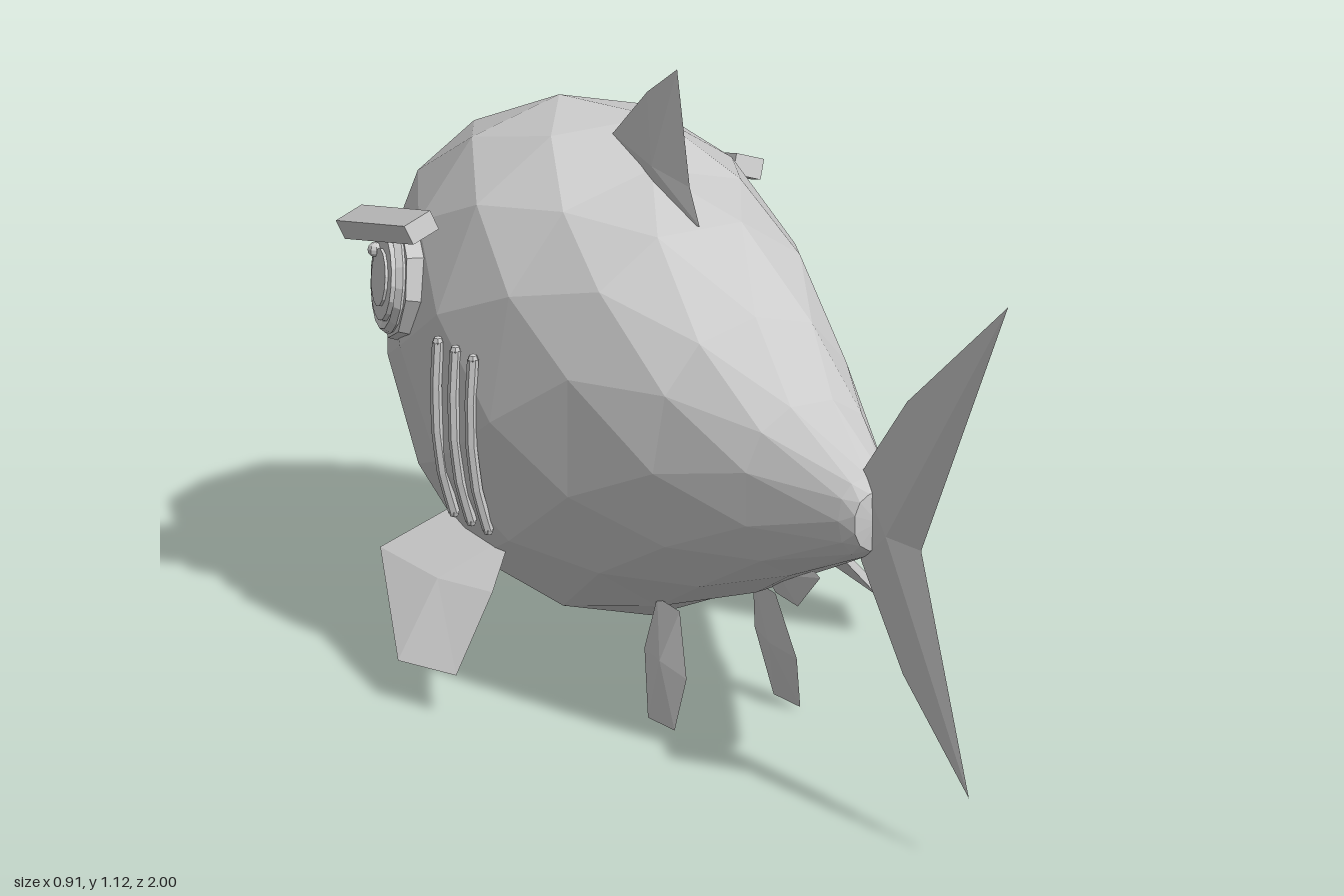
import * as THREE from 'three';

const V = (x, y, z) => new THREE.Vector3(x, y, z);
const skin = new THREE.MeshStandardMaterial({ color: 0xcccccc });
skin.name = 'pale grey';

// Faceted normals for any geometry
function facet(geo) {
  const g = geo.index ? geo.toNonIndexed() : geo;
  g.computeVertexNormals();
  return g;
}

function part(parent, name, geo) {
  const mesh = new THREE.Mesh(facet(geo), skin);
  mesh.name = name;
  parent.add(mesh);
  return mesh;
}

function fromTriangles(points) {
  return new THREE.BufferGeometry().setFromPoints(points);
}

// Body sections, nose to tail: z, top, bottom, half width
const RINGS = [
  [-0.9, 0.71, 0.36, 0.13],
  [-0.76, 0.86, 0.25, 0.25],
  [-0.6, 0.94, 0.135, 0.31],
  [-0.44, 0.94, 0.09, 0.33],
  [-0.27, 0.91, 0.1, 0.315],
  [-0.1, 0.86, 0.18, 0.26],
  [0.1, 0.76, 0.26, 0.2],
  [0.3, 0.67, 0.36, 0.13],
  [0.5, 0.6, 0.455, 0.058],
  [0.53, 0.58, 0.475, 0.042],
];
const SIDES = 12, POWER = 0.87;
const soft = (v) => Math.sign(v) * Math.abs(v) ** POWER;

function bodyGeometry() {
  const rings = RINGS.map(([z, top, bottom, w], i) => {
    const odd = i % 2, grow = odd ? 1.015 : 1, ring = [];
    for (let j = 0; j < SIDES; j++) {
      const a = ((j + odd * 0.5) / SIDES) * Math.PI * 2;
      ring.push(V(w * grow * soft(Math.cos(a)), (top + bottom) / 2 + ((top - bottom) / 2) * grow * soft(Math.sin(a)), z));
    }
    return ring;
  });
  const nose = V(0, 0.597, -1), end = V(0, 0.527, 0.535), tris = [];
  for (let j = 0; j < SIDES; j++) {
    const k = (j + 1) % SIDES;
    tris.push(nose, rings[0][k], rings[0][j]);
    for (let i = 0; i < rings.length - 1; i++) {
      const A = rings[i], B = rings[i + 1];
      // alternate rings are turned half a step, giving a diamond pattern
      if (i % 2 === 0) tris.push(A[j], A[k], B[j], B[j], A[k], B[k]);
      else tris.push(A[j], A[k], B[k], A[j], B[k], B[j]);
    }
    const last = rings[rings.length - 1];
    tris.push(last[j], last[k], end);
  }
  return fromTriangles(tris);
}

// Half width of the body at a given height and depth
function bodyWidth(y, z) {
  const i = RINGS.findIndex((r) => r[0] > z);
  const a = RINGS[i - 1], b = RINGS[i], t = (z - a[0]) / (b[0] - a[0]);
  const [, top, bottom, w] = a.map((v, n) => v + (b[n] - v) * t);
  const s = Math.min(1, Math.abs(y - (top + bottom) / 2) / ((top - bottom) / 2)) ** (1 / POWER);
  return w * Math.sqrt(1 - s * s) ** POWER;
}

// Sharp-rimmed fin that is thickest at its centre
function fin(outline, centre, thick) {
  const n = V(0, 0, 0), tris = [];
  const next = (i) => outline[(i + 1) % outline.length];
  outline.forEach((p, i) => n.add(p.clone().sub(centre).cross(next(i).clone().sub(centre))));
  n.normalize().multiplyScalar(thick);
  const up = centre.clone().add(n), down = centre.clone().sub(n);
  outline.forEach((p, i) => tris.push(up, p, next(i), down, next(i), p));
  return fromTriangles(tris);
}
const midFin = (pts, c, thick) => fin(pts.map(([z, y]) => V(0, y, z)), V(0, c[1], c[0]), thick);

// Cylinder whose axis runs along local z, from z0 to z1
function disc(r0, r1, z0, z1, sides) {
  return new THREE.CylinderGeometry(r1, r0, z1 - z0, sides).rotateX(Math.PI / 2).translate(0, 0, (z0 + z1) / 2);
}

// Parts found on both sides, made for the +x side
function buildSide(name) {
  const side = new THREE.Group();
  side.name = name;

  // Eye, facing outward and a little forward
  const eye = new THREE.Group();
  eye.name = 'eye';
  eye.position.set(0.283, 0.645, -0.635);
  eye.quaternion.setFromUnitVectors(V(0, 0, 1), V(0.95, 0.1, -0.27).normalize());
  part(eye, 'eyeSocket', disc(0.12, 0.105, -0.05, 0.02, 9));
  part(eye, 'eyeRim', new THREE.TorusGeometry(0.085, 0.012, 5, 16).translate(0, 0, 0.025));
  part(eye, 'eyeball', disc(0.082, 0.074, 0, 0.04, 16));
  part(eye, 'pupil', disc(0.05, 0.05, 0.038, 0.045, 14));
  part(eye, 'eyeHighlight', new THREE.SphereGeometry(0.013, 8, 6).translate(0.032, 0.042, 0.046));
  side.add(eye);

  // Slanting brow above the eye
  const brow = part(side, 'brow', new THREE.BoxGeometry(0.055, 0.036, 0.275));
  brow.position.set(0.312, 0.745, -0.64);
  brow.rotation.set(-0.28, 0.04, -0.35);

  // Gill ridges following the flank
  for (const z of [-0.32, -0.373, -0.426]) {
    const path = new THREE.CurvePath();
    const pts = [0.605, 0.53, 0.44, 0.36, 0.29].map((y) => V(bodyWidth(y, z) + 0.006, y, z));
    for (let i = 1; i < pts.length; i++) path.add(new THREE.LineCurve3(pts[i - 1], pts[i]));
    part(side, 'gillRidge', new THREE.TubeGeometry(path, 8, 0.01, 6, false));
    for (const p of [pts[0], pts[4]]) part(side, 'gillEnd', new THREE.SphereGeometry(0.01, 6, 4).translate(p.x, p.y, p.z));
  }

  part(side, 'pectoralFin', fin([
    V(0.235, 0.28, -0.5), V(0.375, 0.2, -0.55), V(0.455, 0.075, -0.34),
    V(0.41, 0.08, -0.215), V(0.315, 0.2, -0.26), V(0.235, 0.265, -0.34),
  ], V(0.34, 0.175, -0.385), 0.025));

  part(side, 'pelvicFin', fin([
    V(0.093, 0.21, 0), V(0.107, 0.105, 0.05), V(0.122, 0.01, 0.035),
    V(0.122, 0.003, -0.06), V(0.107, 0.115, -0.1), V(0.093, 0.21, -0.08),
  ], V(0.106, 0.115, -0.025), 0.013));
  return side;
}

export function createModel() {
  const fish = new THREE.Group();
  fish.name = 'fish';

  part(fish, 'body', bodyGeometry());

  // Fins on the centre line, given as z, y
  part(fish, 'tailFin', midFin([
    [1, 1.067], [0.64, 0.78], [0.475, 0.597], [0.475, 0.44], [0.625, 0.28], [0.86, 0.13], [0.69, 0.525],
  ], [0.6, 0.525], 0.02));
  part(fish, 'dorsalFin', midFin([
    [-0.18, 1.12], [-0.287, 1.045], [-0.41, 0.93], [-0.25, 0.83], [-0.1, 0.86], [-0.135, 0.92],
  ], [-0.235, 0.93], 0.02));
  part(fish, 'analFin', midFin([
    [0.33, 0.36], [0.25, 0.283], [0.17, 0.283], [0.1, 0.33], [0.18, 0.4],
  ], [0.21, 0.33], 0.015));

  // Mouth line with a row of small teeth
  const lip = (x) => V(x, 0.302, -0.832 + 0.08 * (x / 0.16) ** 2);
  const lipPoints = [-0.16, -0.12, -0.08, -0.04, 0, 0.04, 0.08, 0.12, 0.16].map(lip);
  part(fish, 'mouth', new THREE.TubeGeometry(new THREE.CatmullRomCurve3(lipPoints), 16, 0.007, 5, false));
  for (let i = -4; i <= 4; i++) {
    const p = lip(i * 0.036);
    const tooth = part(fish, 'tooth', new THREE.ConeGeometry(0.009, 0.026, 5));
    tooth.position.set(p.x * 1.03, p.y + (i % 2 ? 0.008 : -0.008), p.z - 0.004);
    tooth.rotation.x = i % 2 ? 0 : Math.PI;
  }

  const left = buildSide('leftSide'), right = buildSide('rightSide');
  right.scale.x = -1;
  fish.add(left, right);
  return fish;
}
